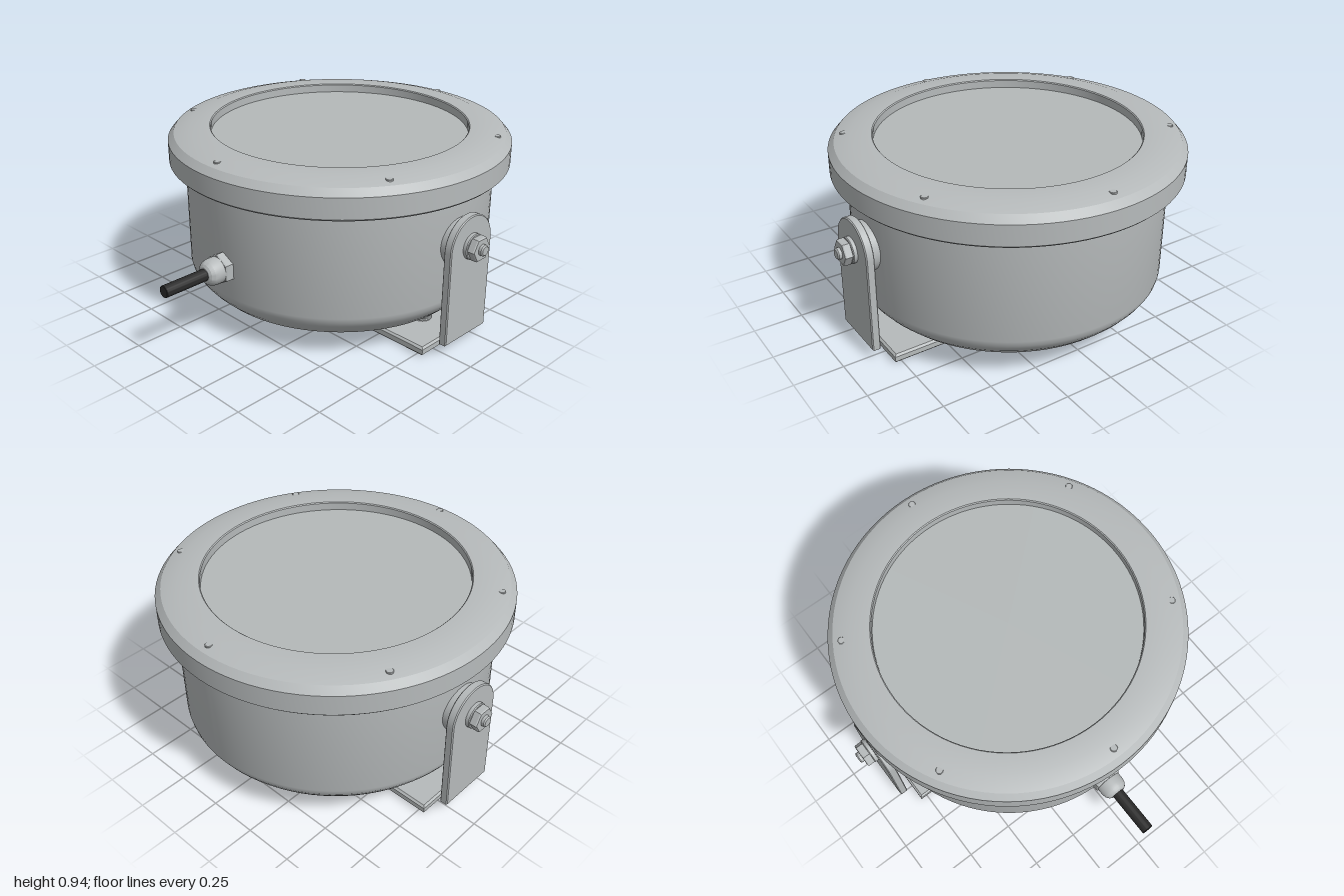
import * as THREE from 'three';
import { toCreasedNormals } from 'three/addons/utils/BufferGeometryUtils.js';

const AXIS_Z = -0.135; // the round housing stands behind the centre, the cable reaches forward

function material(name, color) {
  const m = new THREE.MeshStandardMaterial({ color });
  m.name = name;
  return m;
}

function lathe(points, segments = 96) {
  const profile = points.map(([r, y]) => new THREE.Vector2(r, y));
  return toCreasedNormals(new THREE.LatheGeometry(profile, segments), 0.4);
}

// Flat plate in the XY plane with softened edges, centred on z = 0
function plate(shape, thickness, bevel) {
  const g = new THREE.ExtrudeGeometry(shape, {
    depth: thickness - 2 * bevel, bevelEnabled: true, bevelThickness: bevel,
    bevelSize: bevel, bevelOffset: -bevel, bevelSegments: 1, curveSegments: 24,
  });
  g.translate(0, 0, -(thickness - 2 * bevel) / 2);
  return toCreasedNormals(g, 0.4);
}

// Chamfered hexagonal nut along y, from y = 0 up
function hexNut(radius, height) {
  const c = height * 0.14;
  return toCreasedNormals(new THREE.LatheGeometry([
    [0, 0], [radius * 0.93, 0], [radius, c], [radius, height - c], [radius * 0.93, height], [0, height],
  ].map(([r, y]) => new THREE.Vector2(r, y)), 6), 0.2);
}

function rod(radius, height, bevel = 0.004, segments = 32) {
  return lathe([[0, 0], [radius, 0], [radius, height - bevel], [radius - bevel, height], [0, height]], segments);
}

export function createModel() {
  const metal = material('grey metal', 0xb6babb);
  const glass = material('grey glass', 0xb4b9b9);
  const rubber = material('black rubber', 0x2a2a2a);

  const model = new THREE.Group();
  model.name = 'floodlight';
  const lamp = new THREE.Group();
  lamp.name = 'lamp';
  lamp.position.z = AXIS_Z;
  model.add(lamp);

  function add(parent, name, geometry, mat, x = 0, y = 0, z = 0) {
    const mesh = new THREE.Mesh(geometry, mat);
    mesh.name = name;
    mesh.position.set(x, y, z);
    parent.add(mesh);
    return mesh;
  }

  // Round housing with a softened bottom edge
  add(lamp, 'housing', lathe([
    [0, 0.115], [0.675, 0.115], [0.695, 0.121], [0.738, 0.162], [0.763, 0.192],
    [0.779, 0.218], [0.785, 0.245], [0.785, 0.79],
  ]), metal);

  // Lid ring, recessed window
  add(lamp, 'lidRing', lathe([
    [0.775, 0.775], [0.855, 0.775], [0.865, 0.785], [0.865, 0.888], [0.835, 0.922],
    [0.755, 0.945], [0.655, 0.945], [0.65, 0.94], [0.65, 0.895],
  ]), metal);
  const pane = new THREE.CircleGeometry(0.652, 96);
  pane.rotateX(-Math.PI / 2);
  add(lamp, 'windowPane', pane, glass, 0, 0.9, 0);

  // Six lid screws, almost flush
  for (let i = 0; i < 6; i++) {
    const a = i * Math.PI / 3;
    add(lamp, 'lidScrew', rod(0.018, 0.03, 0.002, 20), metal,
      Math.sin(a) * 0.792, 0.908, Math.cos(a) * 0.792);
  }

  // Base plate of the mounting bracket
  const foot = new THREE.Shape();
  foot.moveTo(-0.785, -0.23);
  foot.lineTo(0.785, -0.23);
  foot.lineTo(0.785, 0.23);
  foot.lineTo(-0.785, 0.23);
  foot.closePath();
  const footGeometry = plate(foot, 0.046, 0.01);
  footGeometry.rotateX(-Math.PI / 2);
  add(lamp, 'basePlate', footGeometry, metal, 0, 0.023, 0);

  // Bracket arm outline: straight sides and a round top
  const pivotY = 0.538, half = 0.153;
  const arm = new THREE.Shape();
  arm.moveTo(-half, 0.055);
  arm.lineTo(half, 0.055);
  arm.lineTo(half, pivotY);
  arm.absarc(0, pivotY, half, 0, Math.PI, false);
  arm.closePath();
  const armGeometry = plate(arm, 0.042, 0.005);
  armGeometry.rotateY(Math.PI / 2);

  for (const [side, turn] of [['left', 0], ['right', Math.PI]]) {
    const bracket = new THREE.Group();
    bracket.name = side + 'Bracket';
    bracket.rotation.y = turn;
    lamp.add(bracket);
    add(bracket, 'arm', armGeometry, metal, 0.84, 0, 0);

    // Pivot stack pointing outward
    const pivot = new THREE.Group();
    pivot.name = 'pivot';
    pivot.position.y = pivotY;
    pivot.rotation.z = -Math.PI / 2;
    bracket.add(pivot);
    add(pivot, 'boss', rod(0.122, 0.09, 0.003, 48), metal, 0, 0.732, 0);
    add(pivot, 'washer', rod(0.065, 0.022), metal, 0, 0.86, 0);
    add(pivot, 'nut', hexNut(0.064, 0.04), metal, 0, 0.88, 0);
    add(pivot, 'stud', rod(0.028, 0.06, 0.006), metal, 0, 0.88, 0);

    // Mounting bolt on the base plate
    add(bracket, 'boltWasher', rod(0.05, 0.012), metal, 0.59, 0.044, 0);
    add(bracket, 'boltNut', hexNut(0.046, 0.036), metal, 0.59, 0.055, 0);
    add(bracket, 'boltStud', rod(0.026, 0.06, 0.005), metal, 0.59, 0.05, 0);
  }

  // Cable gland and cable pointing forward
  const gland = new THREE.Group();
  gland.name = 'cableGland';
  gland.position.set(0, 0.397, 0);
  gland.rotation.x = Math.PI / 2;
  model.add(gland);
  add(gland, 'glandNut', hexNut(0.079, 0.05), metal, 0, 0.64, 0);
  add(gland, 'glandCap', lathe([
    [0.058, 0.68], [0.066, 0.69], [0.066, 0.725], [0.061, 0.745], [0.05, 0.76], [0.038, 0.767], [0.028, 0.767],
  ], 40), metal);
  add(gland, 'cable', rod(0.03, 0.3, 0.002), rubber, 0, 0.7, 0);

  return model;
}
